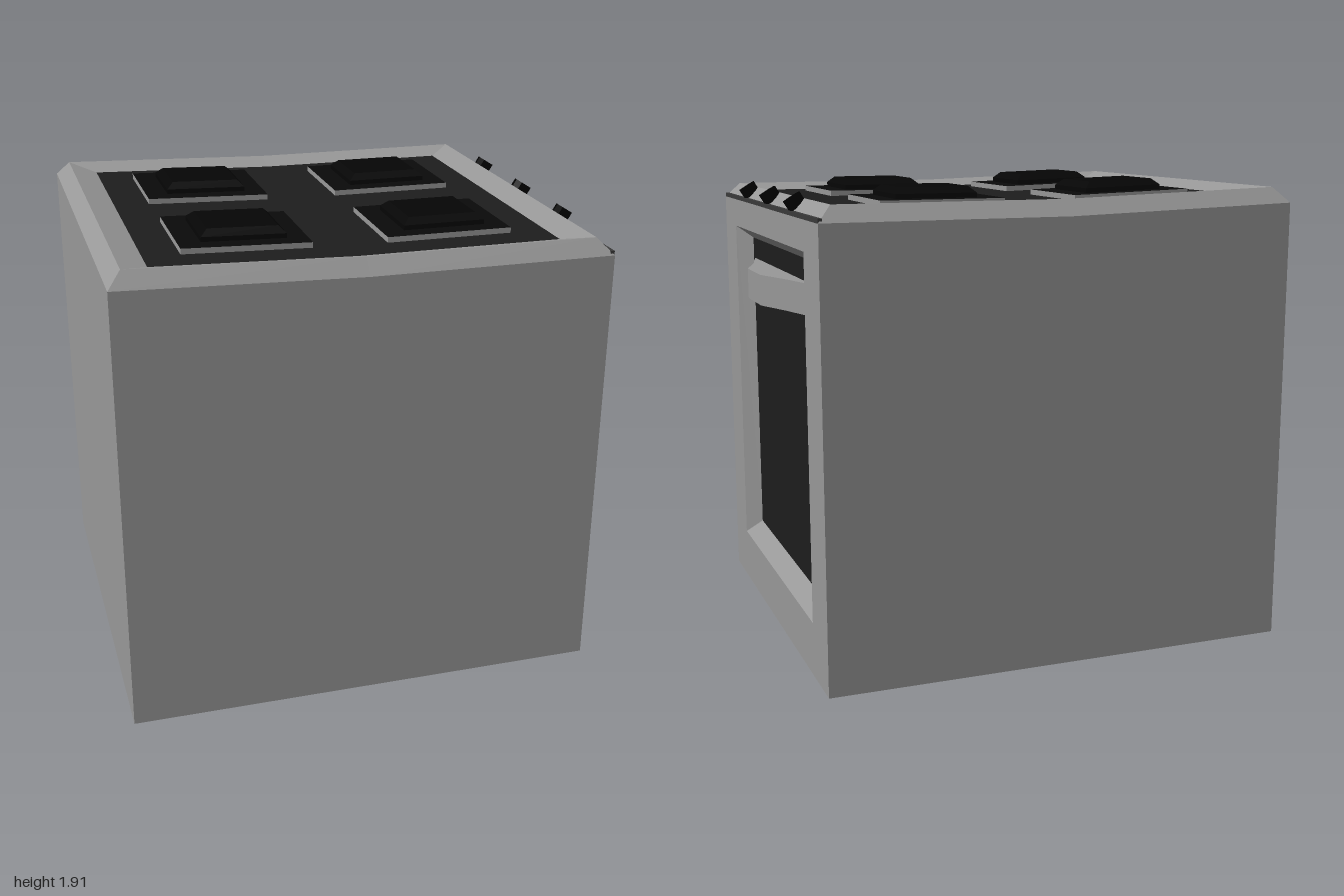
import * as THREE from 'three';

const mat = (color) => new THREE.MeshStandardMaterial({ color, flatShading: true });
const GREY = mat(0x989898), TRIM = mat(0x3a3a3a), GLASS = mat(0x1d1d1d);
const PLATE = mat(0x0a0a0a), BURNER = mat(0x050505), KNOB = mat(0x000000);

const BEND = -0.04, SLOPE = 0.031, FRONT = 0.944;
// the hob rises gently towards the back
const lift = (x) => Math.max(0, BEND - x) * SLOPE;

function mesh(name, geometry, material) {
  const m = new THREE.Mesh(geometry, material);
  m.name = name;
  return m;
}

// flat-shaded surface from a list of four-cornered faces
function quadGeometry(quads) {
  const pos = [];
  for (const [a, b, c, d] of quads) pos.push(...a, ...b, ...c, ...a, ...c, ...d);
  const g = new THREE.BufferGeometry();
  g.setAttribute('position', new THREE.Float32BufferAttribute(pos, 3));
  g.computeVertexNormals();
  return g;
}

// faces joining two closed rings, from segment "start" on
function band(a, b, start = 0) {
  const quads = [];
  for (let i = start; i < a.length; i++) {
    const j = (i + 1) % a.length;
    quads.push([a[i], a[j], b[j], b[i]]);
  }
  return quads;
}

// horizontal ring, first segment at the door side, split at the bend
function ring(x0, x1, z, y, rise = 1) {
  return [[x1, z], [x1, -z], [BEND, -z], [x0, -z], [x0, z], [BEND, z]]
    .map(([x, zz]) => [x, y + rise * lift(x), zz]);
}

// upright rectangle in the door plane
const frame = (x, z, y0, y1) => [[x, y0, z], [x, y0, -z], [x, y1, -z], [x, y1, z]];

// block with straight sides and a bevelled top, standing on y = 0
function bevelBlock(w, d, h, side, inset) {
  const r = (i, y) => [[w / 2 - i, y, d / 2 - i], [w / 2 - i, y, i - d / 2],
    [i - w / 2, y, i - d / 2], [i - w / 2, y, d / 2 - i]];
  const a = r(0, 0), b = r(0, side), c = r(inset, h);
  return quadGeometry([...band(a, b), ...band(b, c), c]);
}

// plan outline of [x, z] points, extruded upwards from y = 0
function extrudePlan(plan, height) {
  const shape = new THREE.Shape(plan.map(([x, z]) => new THREE.Vector2(x, -z)));
  return new THREE.ExtrudeGeometry(shape, { depth: height, bevelEnabled: false })
    .rotateX(-Math.PI / 2);
}

export function createModel() {
  const model = new THREE.Group();
  model.name = 'stove';

  // casing: walls, outer bevel and sloping inner rim
  const foot = ring(-1, FRONT, 0.875, 0, 0);
  const shoulder = ring(-1, FRONT, 0.875, 1.79);
  const rim = ring(-0.945, 0.885, 0.825, 1.853);
  const hob = ring(-0.835, 0.78, 0.725, 1.825);
  model.add(mesh('casing', quadGeometry([
    ...band(foot, shoulder, 1), ...band(shoulder, rim), ...band(rim, hob),
    [foot[5], foot[2], foot[1], foot[0]], [foot[4], foot[3], foot[2], foot[5]],
  ]), GREY));

  // dark strip under the control bevel
  const trim = mesh('controlTrim', new THREE.BoxGeometry(0.016, 0.018, 1.74), TRIM);
  trim.position.set(FRONT - 0.008, 1.798, 0);
  model.add(trim);

  // glass hob
  model.add(mesh('hob', quadGeometry([
    [hob[0], hob[1], hob[2], hob[5]], [hob[5], hob[2], hob[3], hob[4]],
  ]), GLASS));

  // front wall with the recessed oven window
  const opening = frame(FRONT, 0.645, 0.22, 1.67);
  const window = frame(0.88, 0.575, 0.285, 1.62);
  model.add(mesh('doorFrame', quadGeometry([
    ...band(frame(FRONT, 0.875, 0, 1.79), opening), ...band(opening, window),
  ]), GREY));
  model.add(mesh('ovenWindow', quadGeometry([window]), GLASS));

  // bowed door handle
  const bow = [[0.88, 0.55], [0.935, 0.32], [1, 0.125], [1, -0.125], [0.935, -0.32], [0.88, -0.53]];
  const handle = mesh('doorHandle', extrudePlan(bow, 0.125), GREY);
  handle.position.y = 1.405;
  model.add(handle);

  // four hot plates
  for (const x of [-0.435, 0.375]) {
    for (const z of [-0.365, 0.365]) {
      const cooker = new THREE.Group();
      cooker.name = 'hotPlate';
      const base = mesh('plateBase', new THREE.BoxGeometry(0.51, 0.022, 0.455),
        [GREY, GREY, PLATE, PLATE, GREY, GREY]);
      base.position.y = 0.011;
      const burner = mesh('burner', bevelBlock(0.335, 0.31, 0.045, 0.02, 0.028), BURNER);
      burner.position.set(0.003, 0.021, 0);
      cooker.add(base, burner);
      cooker.position.set(x, 1.825 + lift(x), z);
      cooker.rotation.z = x < BEND ? -SLOPE : 0;
      model.add(cooker);
    }
  }

  // pointed control knobs on the front bevel
  for (const z of [-0.43, 0, 0.425]) {
    const w = z === 0 ? 0.026 : 0.018;
    const pointer = [[0.036, w], [0.036, -w], [-0.015, -w], [-0.036, -w / 3], [-0.036, w / 3], [-0.015, w]];
    const knob = mesh('knob', extrudePlan(pointer, 0.045).translate(0, -0.0225, 0), KNOB);
    knob.position.set(0.921, 1.841, z);
    knob.rotation.z = -0.56;
    model.add(knob);
  }

  return model;
}
